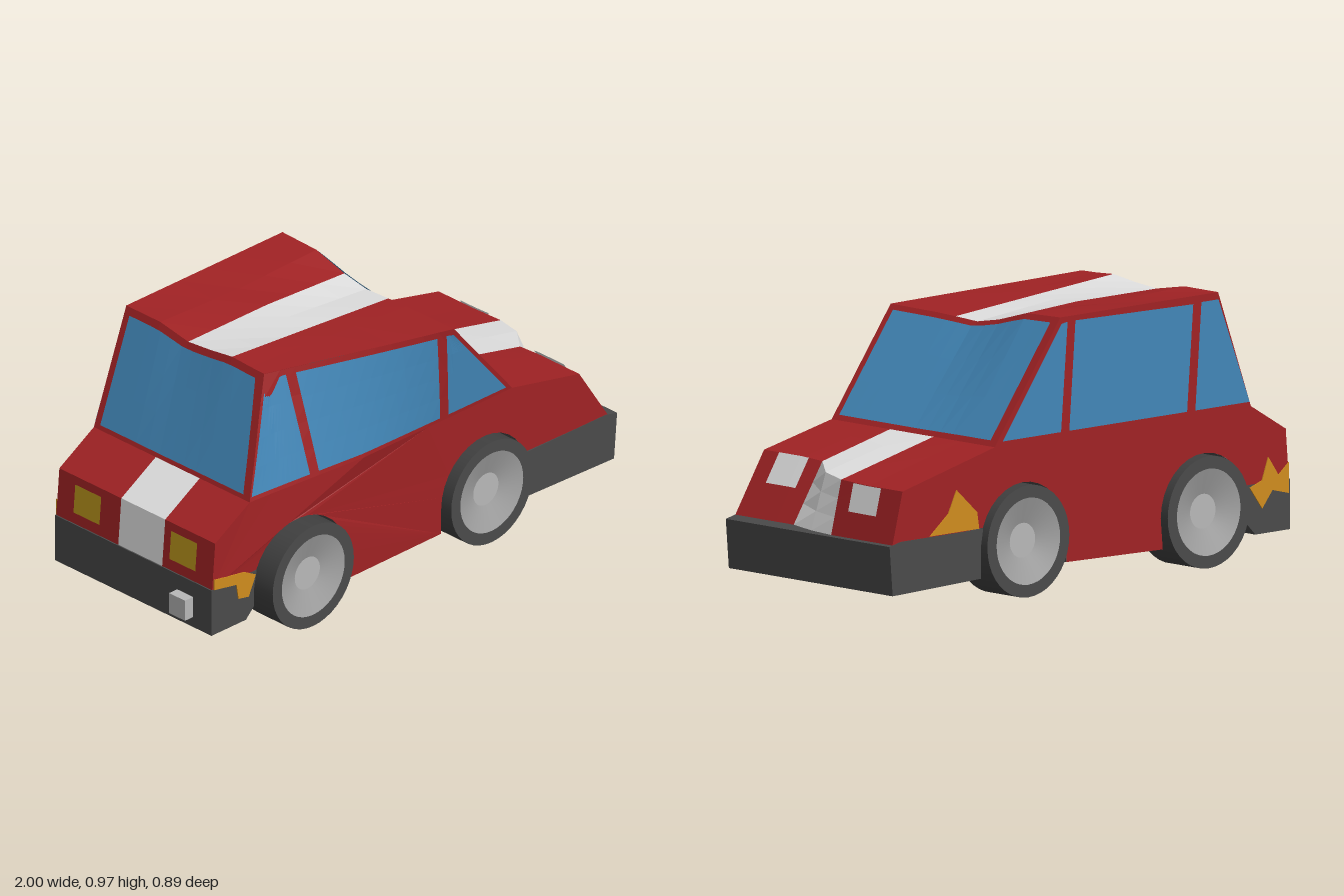
import * as THREE from 'three';

const mat = (name, color) => new THREE.MeshStandardMaterial({ name, color, side: THREE.DoubleSide });
const M = {
  red: mat('red paint', 0xa02224), white: mat('white stripe', 0xdedede), glass: mat('blue glass', 0x4287b8),
  dark: mat('dark plastic', 0x4a4a4a), tyre: mat('tyre rubber', 0x404040), rim: mat('rim grey', 0xa2a2a2),
  hub: mat('hub grey', 0xb8b8b8), flame: mat('orange flame', 0xd08c1e), lamp: mat('amber lamp', 0xb8921c),
};
const R = -0.42;                       // flat right side of the body
const WHEELS = [-0.54, 0.34];
const lerp = THREE.MathUtils.lerp;
const clamp = (v) => Math.min(1, Math.max(0, v));

// Left side of the body: pinched at the rear, leaning out at the front of the roof
function leftZ(x, y) {
  const low = 0.36 + 0.045 * clamp((x + 0.75) / 0.5);
  const top = 0.27 + 0.17 * clamp((x + 0.61) / 0.77);
  return lerp(low, top, clamp((y - 0.55) / 0.39));
}

// Centre-line profile, with x and y tabulated across the width
const COLS = [R, -0.25, -0.11, 0, 0.11, 0.2, 0.44];
const PROFILE = [
  [-0.955, 0.27], [-0.94, 0.45], [-0.77, 0.55],
  [-0.61, [0.975, 0.975, 0.95, 0.96, 0.975, 0.97, 0.965]],
  [-0.22, [0.975, 0.96, 0.95, 0.945, 0.945, 0.945, 0.943]],
  [0.16, [0.975, 0.97, 0.93, 0.91, 0.915, 0.918, 0.92]],
  [0.48, 0.55],
  [[0.93, 0.93, 0.93, 0.9, 0.81, 0.81, 0.81], [0.445, 0.445, 0.45, 0.46, 0.475, 0.48, 0.48]],
  [[0.98, 0.98, 0.98, 0.97, 0.95, 0.95, 0.95], [0.255, 0.255, 0.255, 0.26, 0.265, 0.265, 0.265]],
];
function table(t, z) {
  if (!Array.isArray(t)) return t;
  let i = 0;
  while (i < 5 && z > COLS[i + 1]) i++;
  return lerp(t[i], t[i + 1], clamp((z - COLS[i]) / (COLS[i + 1] - COLS[i])));
}
const at = (i, z) => [table(PROFILE[i][0], z), table(PROFILE[i][1], z)];

// Point on profile segment i at fraction s, raised by lift
function skin(i, s, z, lift = 0) {
  const a = at(i, z), b = at(i + 1, z);
  const dx = b[0] - a[0], dy = b[1] - a[1], l = Math.hypot(dx, dy);
  return [lerp(a[0], b[0], s) - dy / l * lift, lerp(a[1], b[1], s) + dx / l * lift, z];
}

// Faceted surface from a function of (u, v)
function surface(fn, nu, nv) {
  const pos = [];
  for (let i = 0; i < nu; i++) for (let j = 0; j < nv; j++) {
    const a = fn(i / nu, j / nv), b = fn((i + 1) / nu, j / nv);
    const c = fn((i + 1) / nu, (j + 1) / nv), d = fn(i / nu, (j + 1) / nv);
    pos.push(...a, ...b, ...c, ...a, ...c, ...d);
  }
  const g = new THREE.BufferGeometry();
  g.setAttribute('position', new THREE.Float32BufferAttribute(pos, 3));
  g.computeVertexNormals();
  return g;
}

export function createModel() {
  const car = new THREE.Group();
  car.name = 'car';
  const add = (name, geo, m, parent = car) => {
    const mesh = new THREE.Mesh(geo, m);
    mesh.name = name;
    parent.add(mesh);
    return mesh;
  };

  // Top skin from rear face to nose, with the centre stripe
  const names = ['rearFace', 'bootLid', 'rearSlope', 'roofRear', 'roofFront', 'screenFrame', 'bonnet', 'nose'];
  names.forEach((name, i) => {
    for (let c = 0; c < 6; c++) {
      const edge = (s, k) => {
        const p = skin(i, s, COLS[k]);
        if (k === 6) p[2] = leftZ(p[0], p[1]);
        return k === 6 ? [...skin(i, s, p[2])] : p;
      };
      const striped = (c === 2 || c === 3) && i !== 2 && i !== 5;
      add(name, surface((u, v) => edge(u, v < 0.5 ? c : c + 1), 3, 1), striped ? M.white : M.red);
    }
  });

  // Windscreen and rear window
  const screen = (name, i, s0, s1) => add(name, surface((u, v) => {
    const s = lerp(s0, s1, u);
    const p = skin(i, s, 0.3);
    return skin(i, s, lerp(R + 0.03, leftZ(p[0], p[1]) - 0.03, v), 0.005);
  }, 3, 12), M.glass);
  screen('rearWindow', 2, 0.04, 0.94);
  screen('windscreen', 5, 0.05, 0.96);

  // Lamps
  const lamp = (name, i, s0, s1, z0, z1, m) =>
    add(name, surface((u, v) => skin(i, lerp(s0, s1, u), lerp(z0, z1, v), 0.008), 1, 4), m);
  lamp('headlightLeft', 7, 0.01, 0.48, 0.17, 0.32, M.white);
  lamp('headlightRight', 7, 0.01, 0.52, -0.32, -0.18, M.white);
  lamp('tailLightLeft', 0, 0.25, 0.85, 0.15, 0.28, M.lamp);
  lamp('tailLightRight', 0, 0.25, 0.85, -0.33, -0.2, M.lamp);

  // Lower edge: wheel arches and sill
  const arch = (cx, a0, a1) => Array.from({ length: 15 }, (_, k) => {
    const a = lerp(a0, a1, k / 14) * Math.PI / 180;
    return [cx + 0.21 * Math.cos(a), 0.2 + 0.21 * Math.sin(a)];
  });
  const under = [...arch(WHEELS[0], 160.5, 0), [-0.34, 0.09], [0.13, 0.1], ...arch(WHEELS[1], 180, 19.5)];
  add('underside', surface((u, v) => {
    const [x, y] = under[Math.round(u * (under.length - 1))];
    return [x, y, lerp(R + 0.002, leftZ(x, y) - 0.002, v)];
  }, under.length - 1, 1), M.dark);

  // Body sides, cabin sides and side windows
  const quad = (a, b, c, d, zAt) => surface((u, v) => {
    const x = lerp(lerp(a[0], b[0], u), lerp(d[0], c[0], u), v);
    const y = lerp(lerp(a[1], b[1], u), lerp(d[1], c[1], u), v);
    return [x, y, zAt(x, y)];
  }, 12, 4);
  for (const left of [true, false]) {
    const side = left ? 'Left' : 'Right';
    const zAt = left ? leftZ : () => R;
    const out = left ? 0.004 : -0.004;
    const zOut = (x, y) => zAt(x, y) + out;
    const zEnd = left ? 0.4 : R;
    const belt = Array.from({ length: 13 }, (_, k) => [lerp(0.48, -0.77, k / 12), 0.55]);
    const outline = [at(0, zEnd), ...under, at(8, zEnd), at(7, zEnd), ...belt, at(1, zEnd)];
    let g = new THREE.ShapeGeometry(new THREE.Shape(outline.map((p) => new THREE.Vector2(...p)))).toNonIndexed();
    const p = g.attributes.position;
    for (let k = 0; k < p.count; k++) p.setZ(k, zAt(p.getX(k), p.getY(k)));
    if (!left) {                       // turn the right side outward
      for (let k = 0; k < p.count; k += 3) {
        const x = p.getX(k), y = p.getY(k);
        p.setXY(k, p.getX(k + 1), p.getY(k + 1));
        p.setXY(k + 1, x, y);
      }
    }
    g.computeVertexNormals();
    add('lowerSide' + side, g, M.red);

    const front = left ? 0.92 : 0.975, rear = left ? 0.967 : 0.975;
    const corners = [[-0.77, 0.55], [0.48, 0.55], [0.16, front], [-0.61, rear]];
    const order = (q) => (left ? q : [q[1], q[0], q[3], q[2]]);
    add('cabinSide' + side, quad(...order(corners), zAt), M.red);
    const f = front - 0.018, r = rear - 0.025;
    [
      ['rearQuarterWindow', [[-0.76, 0.567], [-0.495, 0.567], [-0.525, r], [-0.608, r]]],
      ['doorWindow', [[-0.455, 0.567], [0.12, 0.567], [0.09, f], [-0.485, r - 0.003]]],
      ['frontWindow', [[0.16, 0.567], [0.445, 0.567], [0.158, f - 0.005], [0.128, f]]],
    ].forEach(([n, q]) => add(n + side, quad(...order(q), zOut), M.glass));
  }

  // Bumpers, following the body width
  const bumper = (name, pts) => {
    const shape = new THREE.Shape(pts.map((q) => new THREE.Vector2(...q)));
    const g = new THREE.ExtrudeGeometry(shape, { depth: 1, bevelEnabled: false });
    const p = g.attributes.position;
    for (let k = 0; k < p.count; k++)
      p.setZ(k, p.getZ(k) > 0.5 ? leftZ(p.getX(k), p.getY(k)) + 0.002 : R - 0.002);
    g.computeVertexNormals();
    add(name, g, M.dark);
  };
  bumper('frontBumper', [[0.538, 0.267], [0.55, 0.2], [0.55, 0.09], [0.98, 0.078], [0.995, 0.255], [0.94, 0.267]]);
  bumper('rearBumper', [[-0.96, 0.27], [-0.96, 0.09], [-0.79, 0.09], [-0.75, 0.13], [-0.75, 0.2], [-0.738, 0.27]]);
  add('exhaustBox', new THREE.BoxGeometry(0.05, 0.08, 0.08), M.hub).position.set(-0.975, 0.17, 0.23);

  // Flame patches on the flanks
  const flame = (name, z, pts) => {
    const shape = new THREE.Shape(pts.map((q) => new THREE.Vector2(...q)));
    add(name, new THREE.ExtrudeGeometry(shape, { depth: 0.004, bevelEnabled: false }), M.flame).position.z = z;
  };
  flame('flameFrontRight', R - 0.005, [[0.56, 0.27], [0.57, 0.33], [0.67, 0.42], [0.71, 0.34], [0.8, 0.27]]);
  const rearFlame = [[-0.95, 0.31], [-0.8, 0.285], [-0.745, 0.255], [-0.78, 0.18], [-0.83, 0.19], [-0.84, 0.25], [-0.95, 0.27]];
  flame('flameRearLeft', 0.362, rearFlame);
  flame('flameRearRight', R - 0.006, [[-0.95, 0.33], [-0.9, 0.29], [-0.85, 0.36], [-0.82, 0.28], [-0.76, 0.26], [-0.82, 0.18], [-0.87, 0.24], [-0.95, 0.22]]);

  // Wheels: tyre, dished rim and hub
  const lathe = (pts) => new THREE.LatheGeometry(pts.map((q) => new THREE.Vector2(...q)), 40).rotateX(Math.PI / 2);
  for (const x of WHEELS) for (const s of [1, -1]) {
    const wheel = new THREE.Group();
    wheel.name = (x > 0 ? 'front' : 'rear') + 'Wheel' + (s > 0 ? 'Left' : 'Right');
    add('tread', new THREE.CylinderGeometry(0.2, 0.2, 0.155, 40, 1, true).rotateX(Math.PI / 2), M.tyre, wheel).position.z = 0.3675;
    add('tyreWall', new THREE.RingGeometry(0.155, 0.2, 40), M.dark, wheel).position.z = 0.445;
    add('rim', lathe([[0.158, 0.445], [0.062, 0.415]]), M.rim, wheel);
    add('hub', new THREE.CircleGeometry(0.063, 32), M.hub, wheel).position.z = 0.415;
    add('innerWall', new THREE.CircleGeometry(0.2, 40).rotateY(Math.PI), M.tyre, wheel).position.z = 0.29;
    wheel.position.set(x, 0.202, 0);
    if (s < 0) wheel.rotation.y = Math.PI;
    car.add(wheel);
  }
  return car;
}
